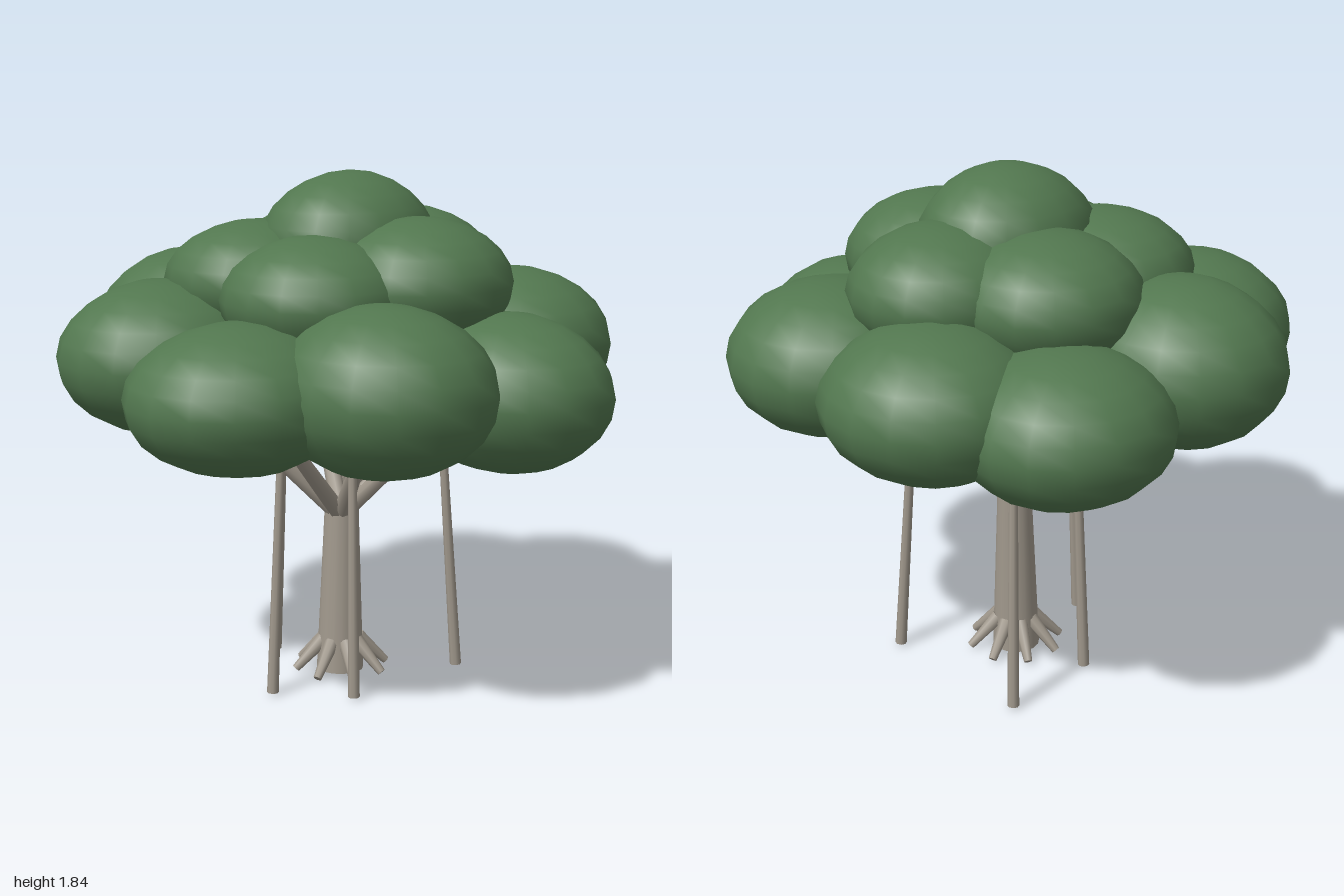
import * as THREE from 'three';

const CX = 0.04, CZ = -0.03; // trunk axis

export function createModel() {
  const tree = new THREE.Group();
  tree.name = 'tree';
  const bark = new THREE.MeshStandardMaterial({ color: 0xa0988c });
  bark.name = 'bark';
  const leaf = new THREE.MeshStandardMaterial({ color: 0x52774f });
  leaf.name = 'leaf green';

  const add = (geometry, material, name) => {
    const mesh = new THREE.Mesh(geometry, material);
    mesh.name = name;
    tree.add(mesh);
    return mesh;
  };

  // Tapered round limb between two points
  const limb = (name, from, to, r0, r1, sides = 8) => {
    const a = new THREE.Vector3(...from), b = new THREE.Vector3(...to);
    const dir = b.clone().sub(a);
    const mesh = add(new THREE.CylinderGeometry(r1, r0, dir.length(), sides), bark, name);
    mesh.position.copy(a).addScaledVector(dir, 0.5);
    mesh.quaternion.setFromUnitVectors(new THREE.Vector3(0, 1, 0), dir.normalize());
  };

  // Squashed, slightly lumpy sphere of leaves: sloping top, fuller underside
  const clump = (name, [x, y, z, rx, ry, rz], seed) => {
    const g = new THREE.SphereGeometry(1, 16, 12);
    const p = g.attributes.position, n = g.attributes.normal;
    const v = new THREE.Vector3(), m = new THREE.Vector3();
    for (let i = 0; i < p.count; i++) {
      v.fromBufferAttribute(p, i);
      const k = v.y > 0 ? 1.88 : 2.05;
      const full = (Math.hypot(v.x, v.z) ** k + Math.abs(v.y) ** k) ** (-1 / k);
      const lump = full * (1.005 + 0.012 * Math.sin(4 * v.x + seed * 1.7) * Math.cos(3 * v.z + seed));
      // smooth normals of the ellipsoid
      m.set(v.x / rx, v.y / ry, v.z / rz).normalize();
      n.setXYZ(i, m.x, m.y, m.z);
      p.setXYZ(i, v.x * rx * lump, v.y * ry * lump, v.z * rz * lump);
    }
    add(g, leaf, name).position.set(x, y, z);
  };

  // Trunk
  limb('trunk', [CX - 0.005, 0.01, CZ], [CX + 0.01, 0.63, CZ - 0.005], 0.086, 0.062, 16);

  // Root spurs around the base
  for (let i = 0; i < 8; i++) {
    const a = THREE.MathUtils.degToRad(33 + i * 45);
    const c = Math.cos(a), s = Math.sin(a);
    limb('rootSpur', [CX + 0.172 * c, 0.018, CZ + 0.172 * s],
      [CX + 0.065 * c, 0.125, CZ + 0.065 * s], 0.015, 0.027);
  }

  // Hanging prop roots, leaning in towards the top
  for (const [x, z] of [[0.335, 0.28], [0.39, -0.325], [0.01, -0.335], [-0.325, -0.03], [-0.165, 0.215]]) {
    const k = 0.84;
    limb('propRoot', [x, 0.015, z], [CX + (x - CX) * k, 0.99, CZ + (z - CZ) * k], 0.021, 0.014);
  }

  // Lower ring of foliage: centre x, y, z and radii
  const lower = [
    [-0.11, 1.25, -0.63, 0.355, 0.285, 0.37],
    [0.405, 1.16, -0.56, 0.37, 0.255, 0.355],
    [0.62, 1.21, -0.18, 0.365, 0.26, 0.375],
    [0.56, 1.225, 0.32, 0.375, 0.265, 0.375],
    [0.165, 1.13, 0.62, 0.345, 0.27, 0.37],
    [-0.32, 1.19, 0.48, 0.36, 0.285, 0.385],
    [-0.6, 1.155, 0.09, 0.385, 0.25, 0.37],
    [-0.49, 1.22, -0.385, 0.38, 0.265, 0.365],
  ];
  lower.forEach((c, i) => {
    clump('lowerFoliage', c, i + 1);
    // Branch reaching out towards this clump
    const a = Math.atan2(c[2] - CZ, c[0] - CX);
    limb('branch', [CX + 0.02 * Math.cos(a), 0.615, CZ + 0.02 * Math.sin(a)],
      [CX + 0.42 * Math.cos(a), 1.01, CZ + 0.42 * Math.sin(a)], 0.033, 0.023);
  });

  // Middle ring of foliage
  [
    [0.08, 1.48, 0.29, 0.33, 0.225, 0.325],
    [0.36, 1.48, 0.01, 0.33, 0.22, 0.315],
    [0.18, 1.47, -0.29, 0.33, 0.22, 0.325],
    [-0.18, 1.47, -0.23, 0.32, 0.21, 0.325],
    [-0.24, 1.44, 0.1, 0.325, 0.215, 0.325],
  ].forEach((c, i) => clump('middleFoliage', c, i + 11));

  // Crown
  clump('crownFoliage', [0.06, 1.6, -0.01, 0.33, 0.245, 0.29], 21);

  return tree;
}
